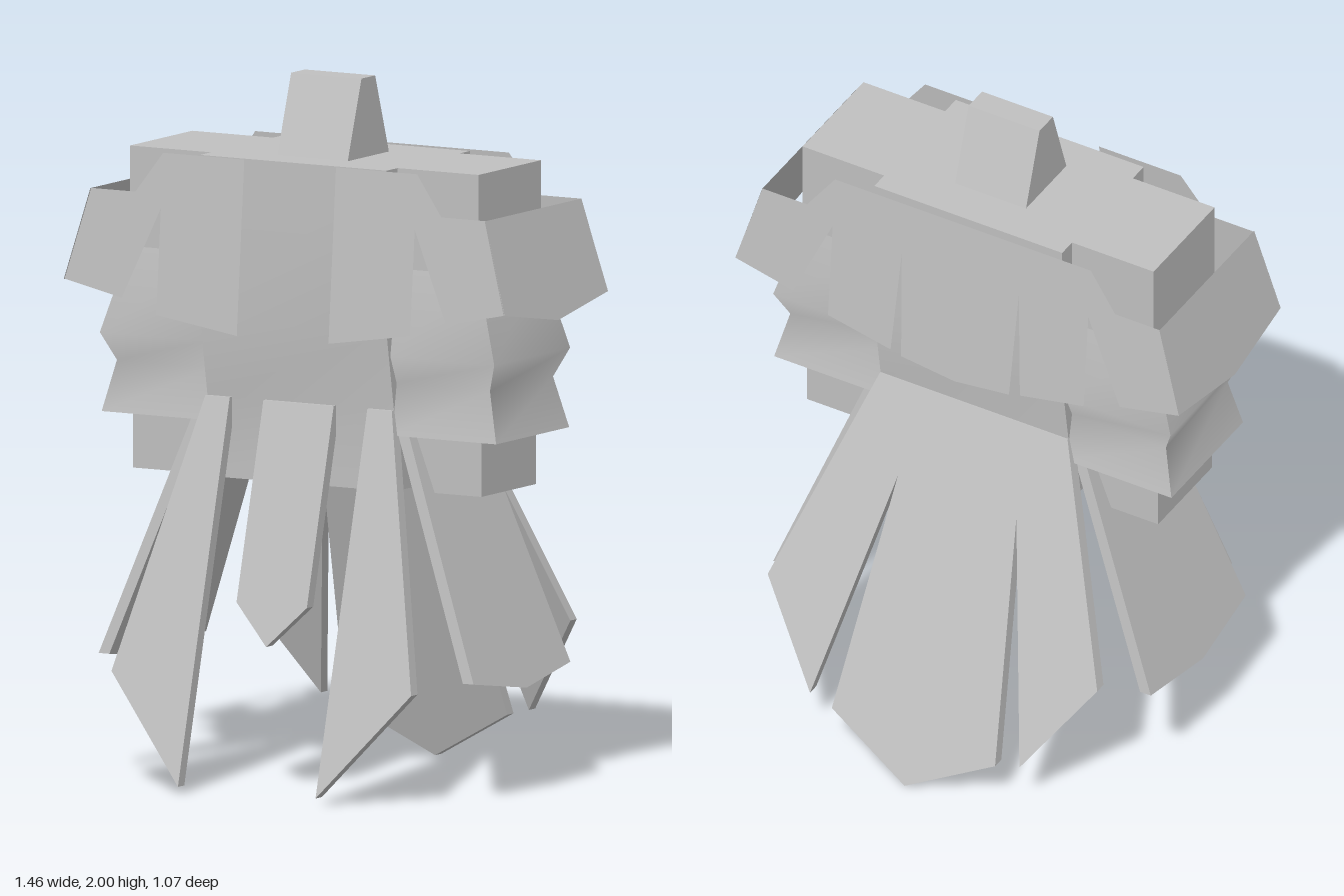
import * as THREE from 'three';

const stone = new THREE.MeshStandardMaterial({ color: 0xc0c0c0 });
stone.name = 'light grey';
const cloth = stone;
cloth.side = THREE.DoubleSide;

// Stacked rectangles [y, x0, x1, z0, z1] from bottom to top, smooth along the height, sharp at corners.
function loft(name, rings) {
  const pos = [], idx = [];
  const corners = ([y, x0, x1, z0, z1]) => [[x0, y, z1], [x1, y, z1], [x1, y, z0], [x0, y, z0]];
  for (let side = 0; side < 4; side++) {
    rings.forEach((r, i) => {
      const c = corners(r), n = pos.length / 3;
      pos.push(...c[side], ...c[(side + 1) % 4]);
      if (i > 0) idx.push(n - 2, n - 1, n + 1, n - 2, n + 1, n);
    });
  }
  const bottom = pos.length / 3;
  pos.push(...corners(rings[0]).flat(), ...corners(rings[rings.length - 1]).flat());
  idx.push(bottom, bottom + 2, bottom + 1, bottom, bottom + 3, bottom + 2);
  idx.push(bottom + 4, bottom + 5, bottom + 6, bottom + 4, bottom + 6, bottom + 7);
  const geo = new THREE.BufferGeometry();
  geo.setAttribute('position', new THREE.Float32BufferAttribute(pos, 3));
  geo.setIndex(idx);
  geo.computeVertexNormals();
  const mesh = new THREE.Mesh(geo, stone);
  mesh.name = name;
  return mesh;
}

// Plate from an outline, leaning outward as it goes down from height `top`, then turned to face `angle`.
function plate(name, points, { depth = 0, base, slope, top, angle = 0 }) {
  const shape = new THREE.Shape(points.map(([x, y]) => new THREE.Vector2(x, y)));
  let geo = depth
    ? new THREE.ExtrudeGeometry(shape, { depth, bevelEnabled: false })
    : new THREE.ShapeGeometry(shape);
  const p = geo.attributes.position;
  for (let i = 0; i < p.count; i++) {
    p.setZ(i, p.getZ(i) - depth + base + slope * (top - p.getY(i)));
  }
  if (geo.index) geo = geo.toNonIndexed();
  geo.computeVertexNormals();
  geo.rotateY(angle);
  const mesh = new THREE.Mesh(geo, cloth);
  mesh.name = name;
  return mesh;
}

const flip = (points, s) => points.map(([x, y]) => [x * s, y]);

export function createModel() {
  const model = new THREE.Group();
  model.name = 'robedTorso';

  // Body and neck
  model.add(loft('torso', [
    [0.86, -0.305, 0.305, -0.14, 0.235],
    [1.09, -0.305, 0.305, -0.145, 0.235],
    [1.31, -0.305, 0.305, -0.18, 0.275],
    [1.775, -0.305, 0.305, -0.18, 0.275],
  ]));
  model.add(loft('neck', [
    [1.775, -0.115, 0.115, -0.055, 0.17],
    [2, -0.115, 0.115, 0.02, 0.095],
  ]));

  // Front and back layers of the cape and skirt
  const frontCape = { base: 0.293, slope: 0.083, top: 1.775 };
  const backCape = { base: 0.21, slope: 0.087, top: 1.775, angle: Math.PI };
  const frontSkirt = { depth: 0.035, base: 0.247, slope: 0.265, top: 1.09 };
  const backSkirt = { depth: 0.035, base: 0.15, slope: 0.354, top: 1.09, angle: Math.PI };

  model.add(plate('frontSkirtCentre',
    [[-0.115, 1.09], [-0.115, 0.535], [0, 0.42], [0.115, 0.535], [0.115, 1.09]], frontSkirt));
  model.add(plate('backSkirtCentre',
    [[-0.165, 1.09], [-0.265, 0.14], [0, 0], [0.265, 0.14], [0.165, 1.09]], backSkirt));

  // Back cape with narrow slits and shoulder notches
  const half = [
    [0.175, 1.27], [0.19, 1.61], [0.21, 1.28], [0.415, 1.32], [0.415, 1.62],
    [0.53, 1.36], [0.72, 1.4], [0.645, 1.66], [0.5, 1.66], [0.415, 1.775],
  ];
  model.add(plate('backCape', [[0, 1.25], ...half, ...flip(half, -1).reverse()], backCape));

  for (const s of [1, -1]) {
    const side = s > 0 ? 'left' : 'right';
    const turn = s * Math.PI / 2;
    const box = (y, x0, x1, z0, z1) =>
      [y, Math.min(s * x0, s * x1), Math.max(s * x0, s * x1), z0, z1];

    // Arm: shoulder block, pleated sleeve and stub
    model.add(loft(side + 'Shoulder', [
      box(1.45, 0.3, 0.57, -0.125, 0.215), box(1.775, 0.3, 0.57, -0.125, 0.215),
    ]));
    model.add(loft(side + 'Sleeve', [
      box(1.02, 0.3, 0.645, -0.155, 0.245),
      box(1.165, 0.3, 0.61, -0.125, 0.22),
      box(1.245, 0.3, 0.645, -0.16, 0.255),
      box(1.49, 0.3, 0.57, -0.125, 0.215),
    ]));
    model.add(loft(side + 'ArmStub', [
      box(0.86, 0.36, 0.57, -0.1, 0.2), box(1.03, 0.36, 0.57, -0.1, 0.2),
    ]));

    // Cape: front flap and shoulder flap
    model.add(plate(side + 'FrontCape', flip([
      [0.15, 1.775], [0.415, 1.775], [0.5, 1.66], [0.645, 1.66], [0.72, 1.4],
      [0.53, 1.36], [0.415, 1.62], [0.415, 1.32], [0.15, 1.28],
    ], s), frontCape));
    model.add(plate(side + 'ShoulderCape', flip([
      [-0.307, 1.66], [0.222, 1.66], [0.242, 1.4], [-0.05, 1.355], [-0.328, 1.4],
    ], s), { base: 0.645, slope: 0.285, top: 1.66, angle: turn }));

    // Skirt panels
    model.add(plate(side + 'FrontSkirt', flip(
      [[0.225, 1.09], [0.305, 1.09], [0.49, 0.32], [0.225, 0.02]], s), frontSkirt));
    model.add(plate(side + 'SideSkirt', flip(
      [[-0.23, 1.09], [0.13, 1.09], [0.215, 0.345], [-0.05, 0.305], [-0.315, 0.345]], s),
    { depth: 0.035, base: 0.33, slope: 0.38, top: 1.09, angle: turn }));
    model.add(plate(side + 'BackSkirt', flip(
      [[0.135, 1.09], [0.305, 1.09], [0.535, 0.44], [0.34, 0.16]], s), backSkirt));
  }
  return model;
}
